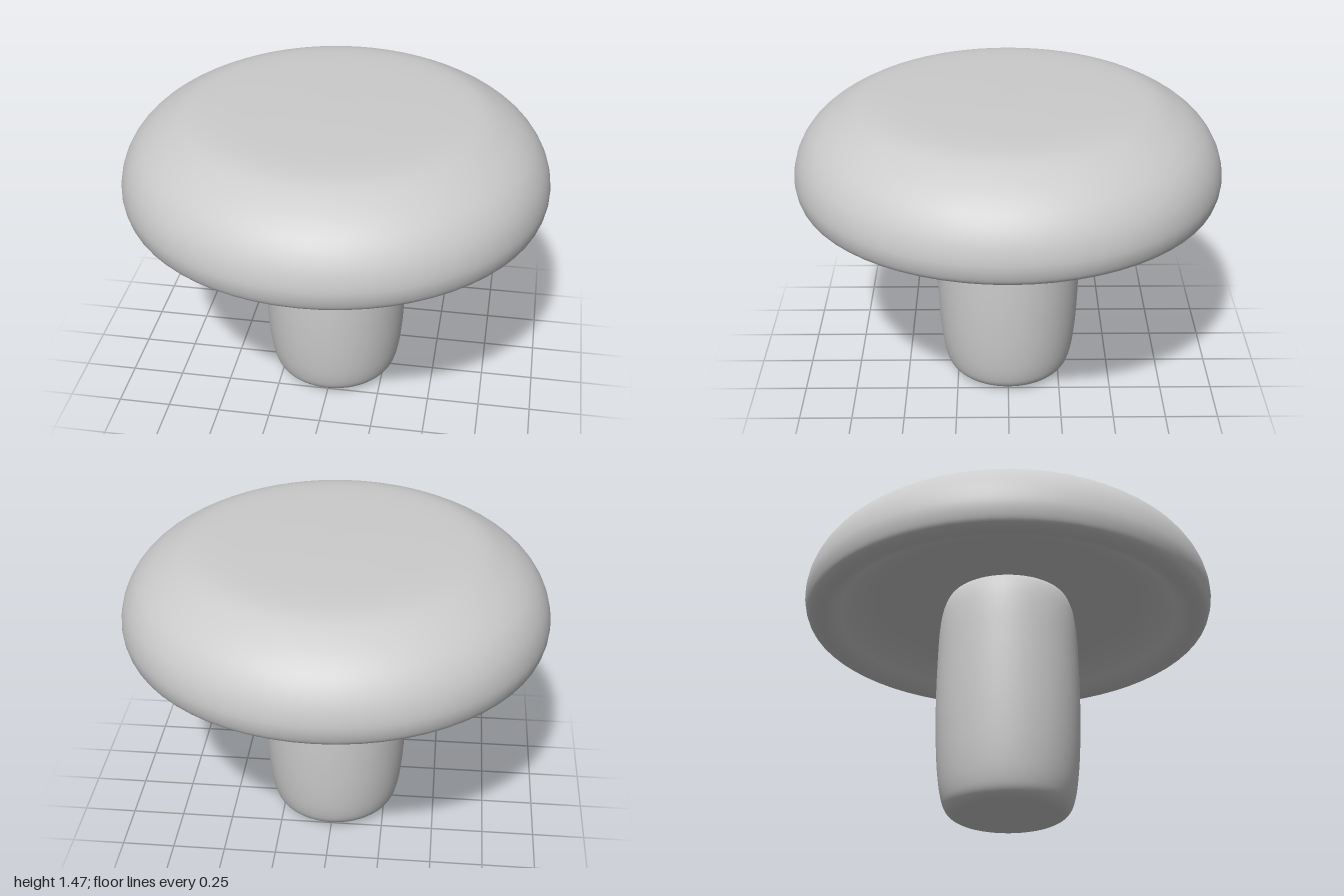
import * as THREE from 'three';

const material = new THREE.MeshStandardMaterial({ color: 0xcccccc });

// Revolves a smooth curve through [radius, height] points.
function turned(name, points, steps) {
  const curve = new THREE.CatmullRomCurve3(
    points.map(([r, y]) => new THREE.Vector3(r, y, 0)), false, 'centripetal');
  const profile = curve.getPoints(steps).map((p) => new THREE.Vector2(Math.max(p.x, 0), p.y));
  profile[0].x = 0;
  profile[profile.length - 1].x = 0;
  const mesh = new THREE.Mesh(new THREE.LatheGeometry(profile, 64), material);
  mesh.name = name;
  return mesh;
}

export function createModel() {
  const group = new THREE.Group();
  group.name = 'mushroom';

  // Hollow cap: underside from the centre to the rim, then over the dome
  const cap = turned('cap', [
    [0, 1.13], [0.35, 1.13], [0.6, 1.125], [0.7, 1.105], [0.79, 1.06],
    [0.86, 1.005], [0.9, 0.987], [0.94, 0.987], [0.975, 1.005], [0.992, 1.04],
    [1, 1.1], [0.982, 1.19], [0.935, 1.275], [0.87, 1.34], [0.79, 1.392],
    [0.7, 1.433], [0.6, 1.452], [0.3, 1.464], [0, 1.468],
  ], 90);

  // Stem: a rounded plug, its upper end sunk into the cap
  const stem = turned('stem', [
    [0, 0], [0.2, 0.007], [0.265, 0.018], [0.295, 0.045], [0.315, 0.1],
    [0.333, 0.22], [0.344, 0.4], [0.347, 0.58], [0.344, 0.78],
    [0.335, 0.97], [0.318, 1.07], [0.29, 1.13], [0.24, 1.155], [0, 1.165],
  ], 60);

  group.add(cap, stem);
  return group;
}
